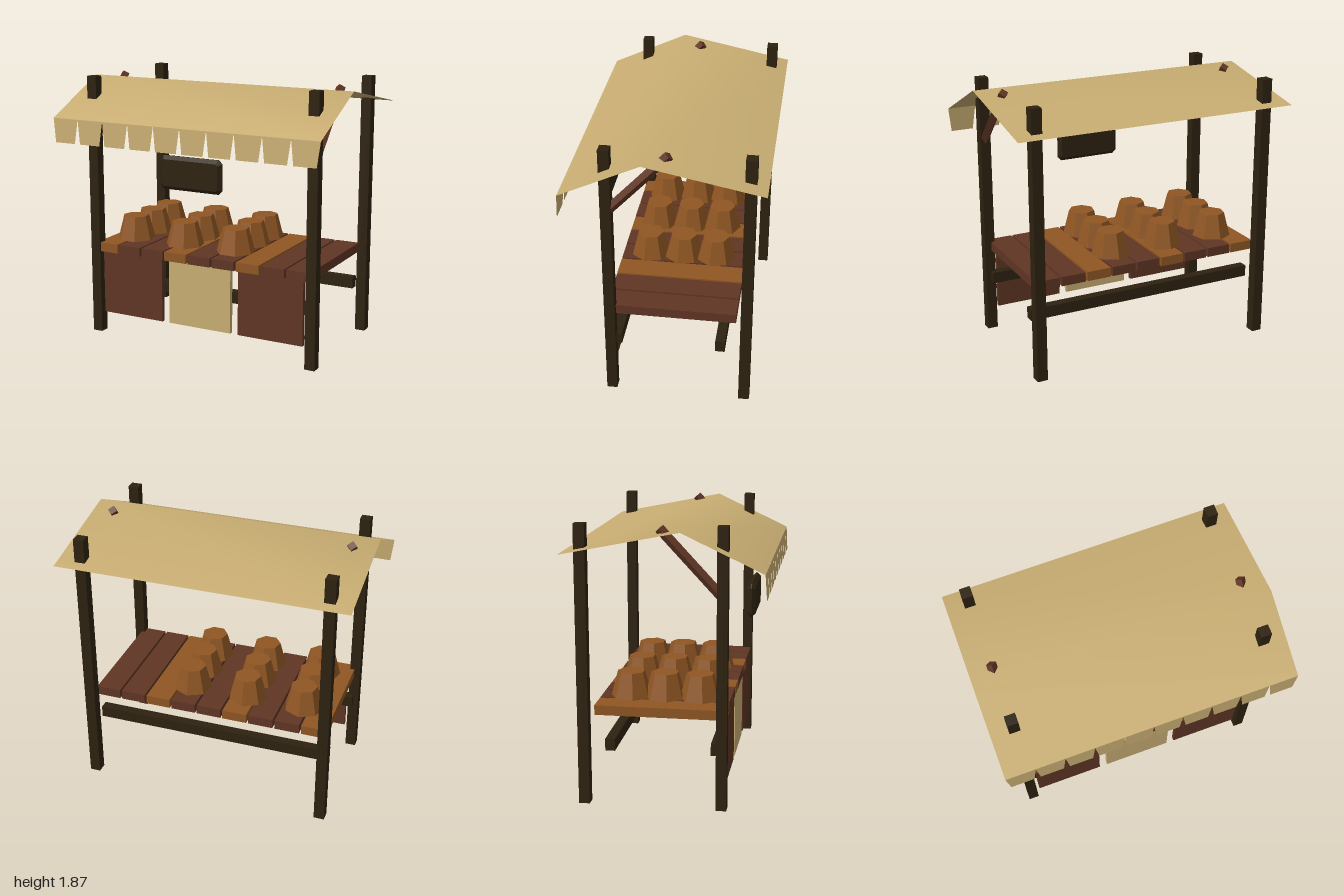
import * as THREE from 'three';

export function createModel() {
  const stall = new THREE.Group();
  stall.name = 'marketStall';

  const mat = (name, color, extra = {}) => {
    const m = new THREE.MeshStandardMaterial({ color, ...extra });
    m.name = name;
    return m;
  };
  const darkWood = mat('darkWood', 0x2e2210, { flatShading: true });
  const redWood = mat('redWood', 0x5f3524, { flatShading: true });
  const orangeWood = mat('orangeWood', 0x8f5623, { flatShading: true });
  const canvas = mat('canvas', 0xc8ad72, { side: THREE.DoubleSide });

  const add = (name, geometry, material, x = 0, y = 0, z = 0) => {
    const mesh = new THREE.Mesh(geometry, material);
    mesh.name = name;
    mesh.position.set(x, y, z);
    stall.add(mesh);
    return mesh;
  };
  const box = (name, material, w, h, d, x, y, z) =>
    add(name, new THREE.BoxGeometry(w, h, d), material, x, y, z);

  // Corner posts and diamond-section roof braces
  for (const side of [-1, 1]) {
    const x = side * 0.845;
    box('frontPost', darkWood, 0.073, 1.865, 0.07, x, 0.9325, 0.37);
    box('backPost', darkWood, 0.073, 1.865, 0.073, x, 0.9325, -0.54);

    const low = new THREE.Vector3(x, 1.41, 0.37);
    const high = new THREE.Vector3(x, 1.842, -0.033);
    const length = low.distanceTo(high);
    const geometry = new THREE.BoxGeometry(0.047, length, 0.047).rotateY(Math.PI / 4);
    const brace = add('roofBrace', geometry, redWood);
    brace.position.copy(low).lerp(high, 0.5);
    brace.quaternion.setFromUnitVectors(
      new THREE.Vector3(0, 1, 0), high.clone().sub(low).normalize());
  }

  // Lower rails
  for (const z of [0.33, -0.368])
    box('lowerRail', darkWood, 1.69, 0.08, 0.065, 0, 0.405, z);

  // Counter planks, every third one lighter
  for (let i = 0; i < 9; i++)
    box('counterPlank', i % 3 ? redWood : orangeWood,
      0.173, 0.065, 0.865, (i - 4) * 0.1875 - 0.003, 0.637, -0.038);

  // Hanging front panels
  for (const i of [-1, 0, 1])
    box('frontPanel', i ? redWood : canvas, 0.485, 0.452, 0.03, i * 0.543, 0.378, 0.375);

  // Seven-sided upturned tubs in three rows
  const tub = new THREE.CylinderGeometry(0.092, 0.137, 0.17, 7, 1, false, Math.PI);
  for (const x of [-0.625, -0.22, 0.185])
    for (const z of [0.2, -0.035, -0.262])
      add('tub', tub, orangeWood, x, 0.77, z);

  // Blank sign board with chamfered edges
  const w = 0.212, h = 0.092, cut = 0.012, bevel = 0.024;
  const board = new THREE.Shape([
    [-w + cut, -h], [w - cut, -h], [w, -h + cut], [w, h - cut],
    [w - cut, h], [-w + cut, h], [-w, h - cut], [-w, -h + cut],
  ].map(([x, y]) => new THREE.Vector2(x, y)));
  const sign = new THREE.ExtrudeGeometry(board, {
    depth: 0.008, bevelEnabled: true, bevelThickness: bevel,
    bevelSize: bevel, bevelSegments: 1,
  });
  add('signBoard', sign, darkWood, 0, 1.264, 0.486);

  // Strip of cloth across the stall, swept along a (z, y) profile
  const clothStrip = (profile) => {
    const pos = [], index = [];
    profile.forEach(([z, y], i) => {
      pos.push(-1, y, z, 1, y, z);
      if (i) {
        const a = 2 * i - 2;
        index.push(a, a + 1, a + 2, a + 1, a + 3, a + 2);
      }
    });
    const g = new THREE.BufferGeometry();
    g.setAttribute('position', new THREE.Float32BufferAttribute(pos, 3));
    g.setIndex(index);
    g.computeVertexNormals();
    return g;
  };
  add('canopy', clothStrip([[0.645, 1.595], [0.12, 1.84], [-0.65, 1.685]]), canvas);

  // Tapered flaps along the front edge
  const flapShape = new THREE.Shape([
    [-0.079, -0.168], [0.079, -0.168], [0.1, 0], [-0.1, 0],
  ].map(([x, y]) => new THREE.Vector2(x, y)));
  const flap = new THREE.ShapeGeometry(flapShape).rotateX(-0.06);
  for (let i = 0; i < 10; i++)
    add('canopyFlap', flap, canvas, -0.9 + i * 0.2, 1.595, 0.645);

  return stall;
}
